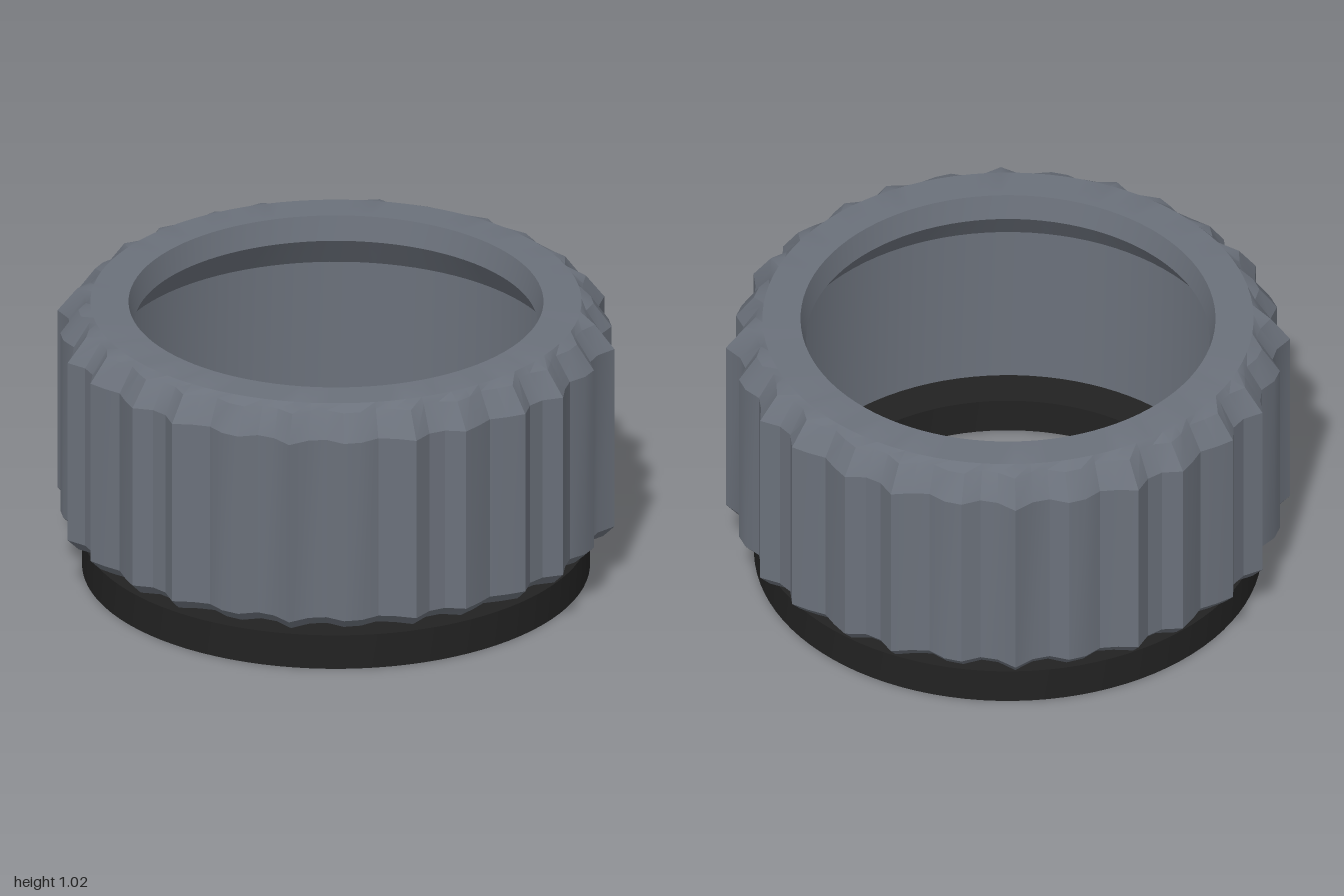
import * as THREE from 'three';
import { toCreasedNormals } from 'three/addons/utils/BufferGeometryUtils.js';

const SEGMENTS = 96;
const SCALLOPS = 28;

// Grip outline: shallow scallops meeting in sharp ridges
const grip = (a) => 1 - 0.06 * Math.abs(Math.sin((a * SCALLOPS) / 2));

// Closed ring swept from a loop of [radius or radius(angle), height]
function ringGeometry(profile, crease) {
  const positions = [];
  const index = [];
  const n = profile.length;
  for (let j = 0; j < SEGMENTS; j++) {
    const a = (j / SEGMENTS) * Math.PI * 2;
    for (const [radius, y] of profile) {
      const r = typeof radius === 'function' ? radius(a) : radius;
      positions.push(r * Math.sin(a), y, r * Math.cos(a));
    }
  }
  for (let j = 0; j < SEGMENTS; j++) {
    for (let i = 0; i < n; i++) {
      const k = (j + 1) % SEGMENTS;
      const m = (i + 1) % n;
      const a = j * n + i, b = k * n + i, c = k * n + m, d = j * n + m;
      index.push(a, b, c, a, c, d);
    }
  }
  const geometry = new THREE.BufferGeometry();
  geometry.setAttribute('position', new THREE.Float32BufferAttribute(positions, 3));
  geometry.setIndex(index);
  return toCreasedNormals(geometry, crease);
}

export function createModel() {
  const greyMetal = new THREE.MeshStandardMaterial({ color: 0x6b717b });
  greyMetal.name = 'greyMetal';
  const blackRubber = new THREE.MeshStandardMaterial({ color: 0x222222 });
  blackRubber.name = 'blackRubber';

  const group = new THREE.Group();
  group.name = 'knurledRing';

  // Scalloped collar with chamfered rims and an inner lip
  const collar = new THREE.Mesh(ringGeometry([
    [0.8, 0.18],
    [(a) => grip(a) - 0.04, 0.18],
    [grip, 0.22],
    [grip, 0.91],
    [(a) => 0.93 - (1 - grip(a)) * 0.75, 1.0],
    [0.87, 1.02],
    [0.735, 1.02],
    [0.715, 0.93],
    [0.8, 0.81],
  ], 0.42), greyMetal);
  collar.name = 'gripCollar';
  group.add(collar);

  // Separate flat base ring
  const base = new THREE.Mesh(ringGeometry([
    [0.715, 0], [0.9, 0], [0.9, 0.13], [0.715, 0.13],
  ], 0.5), blackRubber);
  base.name = 'baseRing';
  group.add(base);

  return group;
}
